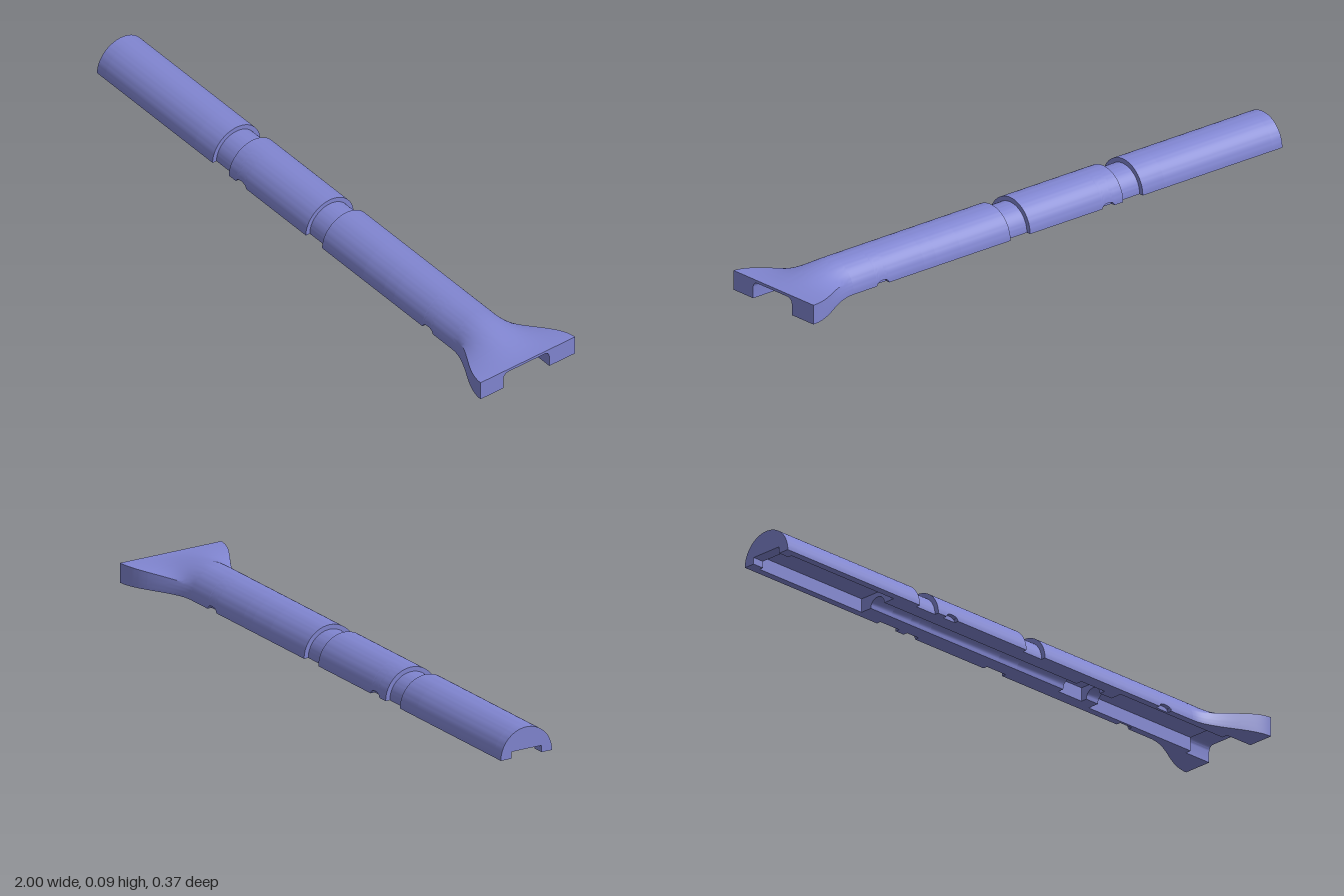
import * as THREE from 'three';
import { toCreasedNormals } from 'three/addons/utils/BufferGeometryUtils.js';

const R = 0.093;        // grip radius
const R_GROOVE = 0.078; // radius in the two ring grooves
const CZ = 0.005;       // axis offset of the grip

// Skins closed [z, y] sections (counter-clockwise) from x0 to x1 and caps both ends
function loft(section, x0, x1, steps = 1) {
  const pos = [];
  const rings = [];
  for (let i = 0; i <= steps; i++) {
    const x = x0 + (x1 - x0) * i / steps;
    rings.push(section(x).map(([z, y]) => [x, y, z]));
  }
  const n = rings[0].length;
  for (let i = 0; i < steps; i++) {
    for (let j = 0; j < n; j++) {
      const k = (j + 1) % n, a = rings[i], b = rings[i + 1];
      pos.push(...a[j], ...b[j], ...b[k], ...a[j], ...b[k], ...a[k]);
    }
  }
  for (const [ring, flip] of [[rings[0], false], [rings[steps], true]]) {
    const contour = ring.map((p) => new THREE.Vector2(p[2], p[1]));
    for (const [a, b, c] of THREE.ShapeUtils.triangulateShape(contour, [])) {
      const tri = flip ? [a, c, b] : [a, b, c];
      tri.forEach((t) => pos.push(...ring[t]));
    }
  }
  const geo = new THREE.BufferGeometry();
  geo.setAttribute('position', new THREE.Float32BufferAttribute(pos, 3));
  return toCreasedNormals(geo, 0.5);
}

// Half-round outline; notch lifts the lower outer edges
function halfRound(r, notch = 0) {
  const a0 = notch ? Math.asin(notch / r) : 0;
  const pts = [];
  for (let i = 0; i <= 40; i++) {
    const a = a0 + (Math.PI - 2 * a0) * i / 40;
    pts.push([CZ + r * Math.cos(a), r * Math.sin(a)]);
  }
  if (!notch) return pts;
  const w = r - 0.015;
  return [[CZ + w, 0], [CZ + w, notch], ...pts, [CZ - w, notch], [CZ - w, 0]];
}

// Cavity outlines, listed from -z to +z
const boxCavity = (w, h) => [[CZ - w, 0], [CZ - w, h], [CZ + w, h], [CZ + w, 0]];
const roundCavity = (w, h, c) => {
  const half = [[w, 0]];
  for (let i = 0; i <= 5; i++) {
    const a = Math.PI / 2 * i / 5;
    half.push([w - c + c * Math.cos(a), h - c + c * Math.sin(a)]);
  }
  return [...half.map(([z, y]) => [CZ - z, y]), ...half.reverse().map(([z, y]) => [CZ + z, y])];
};
const SLOT = boxCavity(0.055, 0.022);
const TROUGH = boxCavity(0.069, 0.045);
const BORE = roundCavity(0.029, 0.029, 0.028);
const BOSS = boxCavity(0.05, 0.045);
const POCKET = roundCavity(0.089, 0.055, 0.018);

// Outline of the flared end: half circle easing into a wide flat rectangle
const FLARE_START = 0.75;
function flareOutline(x) {
  const t = THREE.MathUtils.smoothstep(x, FLARE_START, 1);
  const corner = Math.atan(0.5);
  const angles = [];
  for (let i = 0; i < 8; i++) angles.push(corner * i / 8);
  for (let i = 0; i <= 28; i++) angles.push(corner + (Math.PI - 2 * corner) * i / 28);
  for (let i = 7; i >= 0; i--) angles.push(Math.PI - corner * i / 8);
  return angles.map((a) => {
    const c = Math.cos(a), s = Math.sin(a);
    const m = Math.max(Math.abs(c), s / 0.5);
    return [
      THREE.MathUtils.lerp(CZ + R * c, 0.184 * c / m, t),
      THREE.MathUtils.lerp(R * s, 0.064 * s / 0.5 / m, t),
    ];
  });
}

export function createModel() {
  const model = new THREE.Group();
  model.name = 'handleHalfShell';
  const plastic = new THREE.MeshStandardMaterial({ color: 0x8085d0 });
  plastic.name = 'periwinkle plastic';

  const add = (name, section, x0, x1, steps) => {
    const mesh = new THREE.Mesh(loft(section, x0, x1, steps), plastic);
    mesh.name = name;
    model.add(mesh);
  };

  // Straight grip, one piece per change of outer radius or cavity
  const pieces = [
    ['endWall', -1, -0.96, R, SLOT],
    ['rearGrip', -0.96, -0.52, R, TROUGH],
    ['rearGripBore', -0.52, -0.43, R, BORE],
    ['rearGroove', -0.43, -0.35, R_GROOVE, BORE],
    ['middleGripRear', -0.35, -0.315, R, BORE],
    ['middleGrip', -0.265, 0.03, R, BORE],
    ['frontGroove', 0.03, 0.11, R_GROOVE, BORE],
    ['frontGripBore', 0.11, 0.31, R, BORE],
    ['bossRecess', 0.31, 0.41, R, BOSS],
    ['bossWall', 0.41, 0.46, R, BORE],
    ['frontGrip', 0.46, 0.605, R, TROUGH],
    ['frontGripNeck', 0.655, FLARE_START, R, TROUGH],
  ];
  for (const [name, x0, x1, r, cavity] of pieces) {
    add(name, () => [...halfRound(r), ...cavity], x0, x1);
  }

  // Small arched pry notches along the lower edges
  for (const [name, mid, cavity] of [['rearNotch', -0.29, BORE], ['frontNotch', 0.63, TROUGH]]) {
    const height = (x) => 0.001 + 0.013 * Math.sqrt(Math.max(0, 1 - ((x - mid) / 0.025) ** 2));
    add(name, (x) => [...halfRound(R, height(x)), ...cavity], mid - 0.025, mid + 0.025, 10);
  }

  // Flared head with a stepped socket
  add('flareNeck', (x) => [...flareOutline(x), ...TROUGH], FLARE_START, 0.9, 14);
  add('flareSocket', (x) => [...flareOutline(x), ...POCKET], 0.9, 1, 10);

  return model;
}
